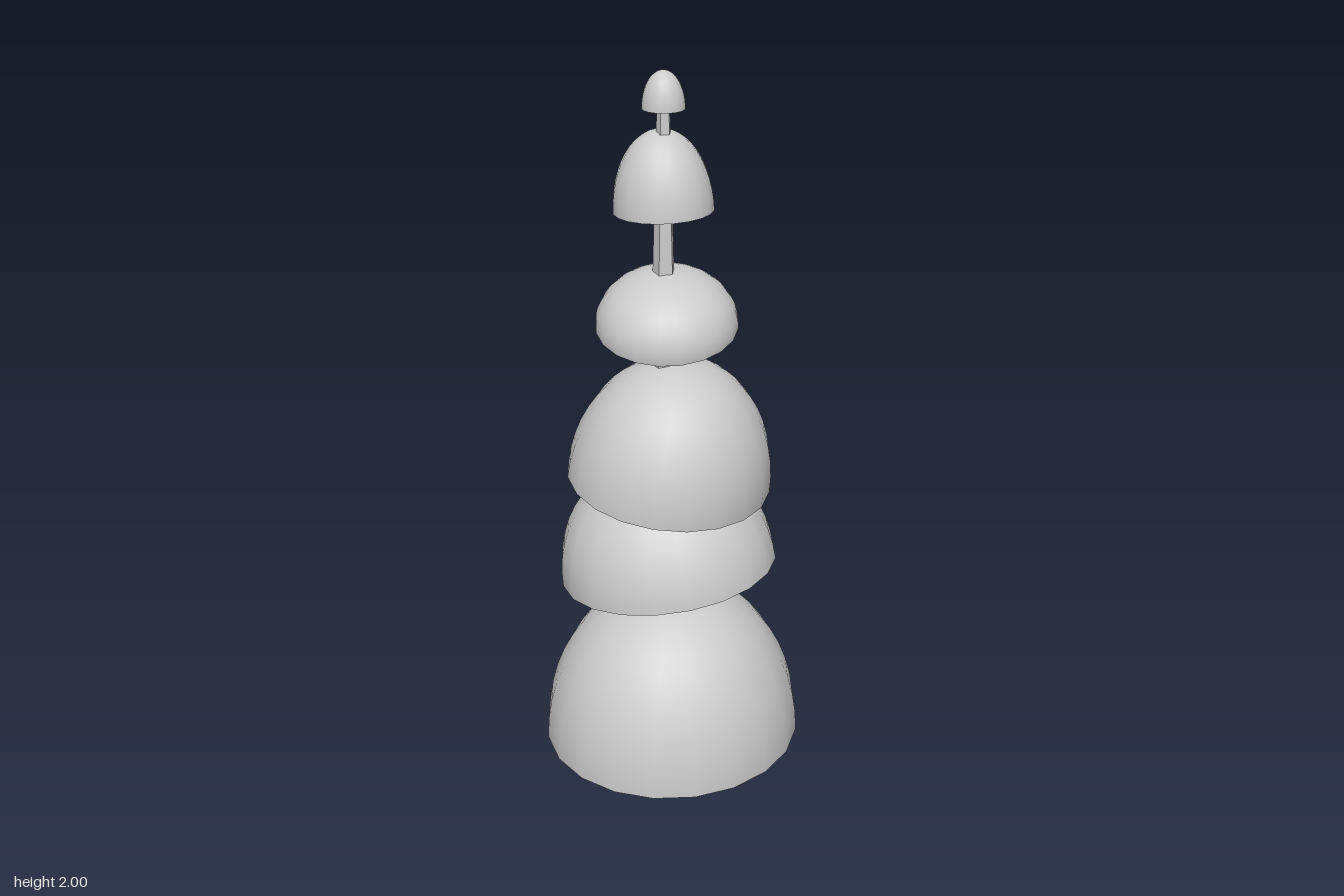
import * as THREE from 'three';
import { mergeGeometries } from 'three/addons/utils/BufferGeometryUtils.js';

const SIDES = 20;
const material = new THREE.MeshStandardMaterial({ color: 0xcccccc, side: THREE.DoubleSide });
const trunkMaterial = new THREE.MeshStandardMaterial({ color: 0xcccccc, flatShading: true });

// Half ellipsoid with its rim on y = 0, optionally closed by a flat disc
function domeGeometry(rx, h, rz, closed) {
  const shell = new THREE.SphereGeometry(1, SIDES, 12, 0, Math.PI * 2, 0, Math.PI / 2);
  shell.scale(rx, h, rz);
  if (!closed) return shell;
  const base = new THREE.CircleGeometry(1, SIDES).rotateX(Math.PI / 2);
  base.scale(rx, 1, rz);
  return mergeGeometries([shell, base]);
}

export function createModel() {
  const tree = new THREE.Group();
  tree.name = 'tree';

  // Tapered five-sided trunk
  const trunk = new THREE.Mesh(new THREE.CylinderGeometry(0.017, 0.07, 1.94, 5), trunkMaterial);
  trunk.name = 'trunk';
  trunk.position.set(-0.016, 0.97, 0.015);
  tree.add(trunk);

  // Foliage tiers from the bottom up: rim centre, radii and height, tilt in degrees
  const tiers = [
    { at: [0, 0.06, 0], size: [0.36, 0.46, 0.377], tilt: [0, 0], closed: false },
    { at: [-0.01, 0.585, 0], size: [0.303, 0.33, 0.3], tilt: [0, 8.5], closed: true },
    { at: [-0.01, 0.864, 0], size: [0.278, 0.351, 0.29], tilt: [0, -7.4], closed: true },
    { at: [-0.01, 1.321, 0.011], size: [0.19, 0.148, 0.19], tilt: [12, -4.8], closed: true },
    { at: [-0.02, 1.633, 0.009], size: [0.132, 0.213, 0.129], tilt: [-2, 3.3], closed: true },
    { at: [-0.017, 1.903, 0.015], size: [0.056, 0.097, 0.055], tilt: [-2, 1], closed: true },
  ];
  tiers.forEach(({ at, size, tilt, closed }, i) => {
    const tier = new THREE.Mesh(domeGeometry(...size, closed), material);
    tier.name = `foliageTier${i + 1}`;
    tier.position.set(...at);
    tier.rotation.set(THREE.MathUtils.degToRad(tilt[0]), 0, THREE.MathUtils.degToRad(tilt[1]));
    tree.add(tier);
  });

  return tree;
}
